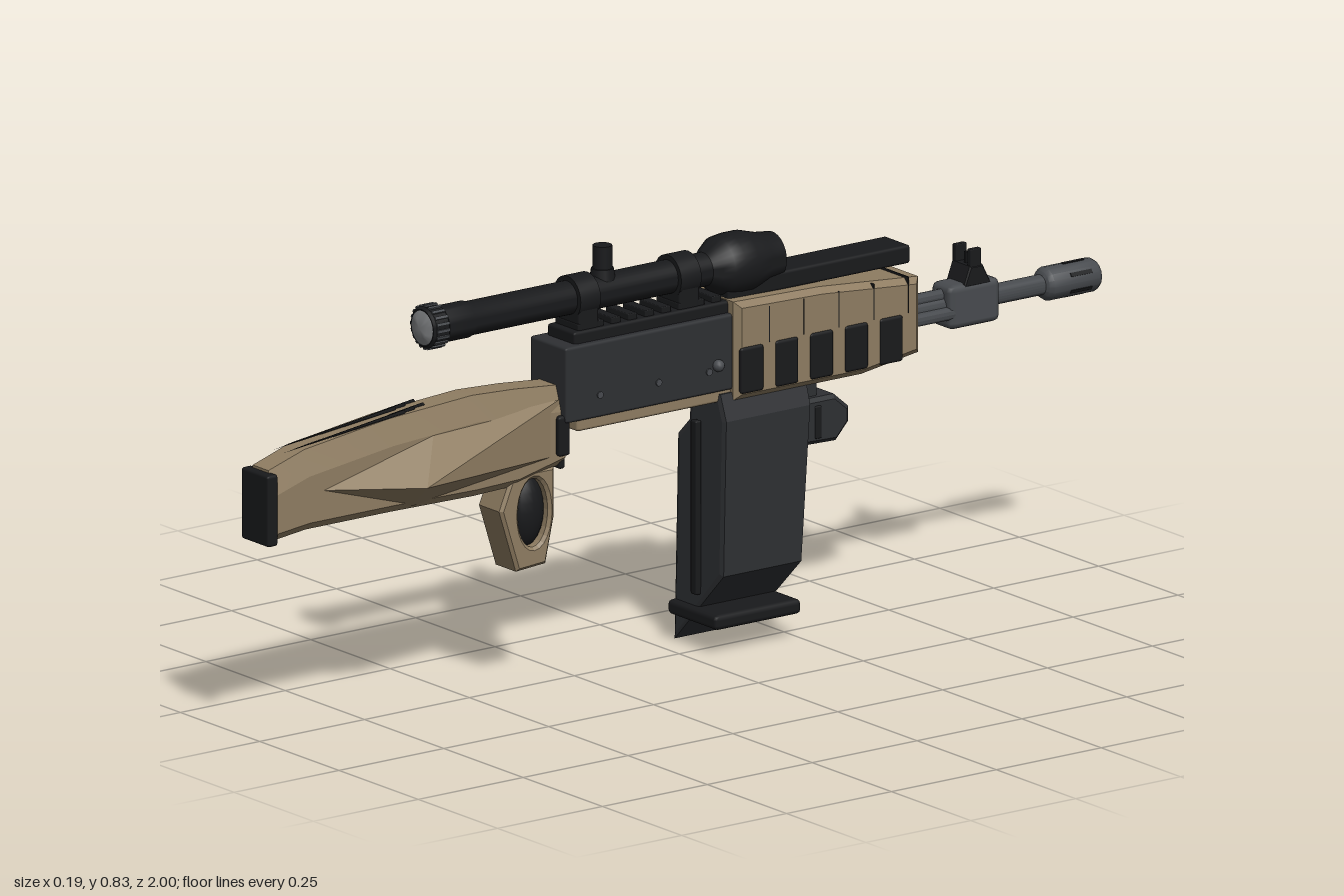
import * as THREE from 'three';
import { toCreasedNormals } from 'three/addons/utils/BufferGeometryUtils.js';
import { RoundedBoxGeometry } from 'three/addons/geometries/RoundedBoxGeometry.js';

const CX = -0.017; // centre line of the body
const mat = (color) => new THREE.MeshStandardMaterial({ color });
const tan = mat(0x8f7d62), dark = mat(0x2e3033), black = mat(0x191a1c), steel = mat(0x484b4f), glass = mat(0x808284);

export function createModel() {
  const root = new THREE.Group();

  const add = (name, geo, material, parent = root) => {
    const m = new THREE.Mesh(geo, material);
    m.name = name;
    parent.add(m);
    return m;
  };
  // box given by its limits, with softened edges
  const box = (name, x0, x1, y0, y1, z0, z1, material, r = 0.006) => {
    const m = add(name, new RoundedBoxGeometry(x1 - x0, y1 - y0, z1 - z0, 1, r), material);
    m.position.set((x0 + x1) / 2, (y0 + y1) / 2, (z0 + z1) / 2);
    return m;
  };
  // turned part along z from [radius, z] pairs with falling z
  const turned = (name, y, pts, material, sides = 24) => {
    const geo = new THREE.LatheGeometry(pts.map(([r, z]) => new THREE.Vector2(r, -z)), sides);
    geo.rotateX(-Math.PI / 2);
    const m = add(name, toCreasedNormals(geo, 0.6), material);
    m.position.set(CX, y, 0);
    return m;
  };
  // side outline of [z, y] points, extruded across x
  const outline = (pts) => new THREE.Shape(pts.map(([z, y]) => new THREE.Vector2(-z, y)));
  const slab = (name, shape, x0, x1, bevel, material) => {
    const geo = new THREE.ExtrudeGeometry(shape, {
      depth: x1 - x0 - 2 * bevel, bevelEnabled: bevel > 0, bevelSize: bevel,
      bevelThickness: bevel, bevelOffset: -bevel, bevelSegments: 1, curveSegments: 12,
    });
    geo.rotateY(Math.PI / 2).translate(x0 + bevel, 0, 0);
    return add(name, geo, material);
  };

  // Stock: lofted octagonal sections [z, bottom, top, half width]
  const sections = [
    [0.985, 0.395, 0.535, 0.041], [0.9, 0.405, 0.562, 0.042], [0.7, 0.405, 0.588, 0.042],
    [0.5, 0.402, 0.6, 0.042], [0.4, 0.405, 0.595, 0.042], [0.29, 0.43, 0.585, 0.042],
  ];
  const pos = [], idx = [];
  sections.forEach(([z, b, t, w]) => {
    const ring = [[-0.7, b], [0.7, b], [1, b + 0.015], [1, t - 0.05], [0.6, t], [-0.6, t], [-1, t - 0.05], [-1, b + 0.015]];
    ring.forEach(([k, y]) => pos.push(CX + k * w, y, z));
  });
  for (let s = 0; s < sections.length - 1; s++) {
    for (let i = 0; i < 8; i++) {
      const a = s * 8 + i, b = s * 8 + (i + 1) % 8;
      idx.push(a, a + 8, b, b, a + 8, b + 8);
    }
  }
  const last = (sections.length - 1) * 8;
  for (let i = 1; i < 7; i++) idx.push(0, i, i + 1, last, last + i + 1, last + i);
  const stockGeo = new THREE.BufferGeometry();
  stockGeo.setAttribute('position', new THREE.Float32BufferAttribute(pos, 3));
  stockGeo.setIndex(idx);
  add('stock', toCreasedNormals(stockGeo, 0.3), tan);
  box('buttPlate', -0.06, 0.027, 0.388, 0.53, 0.975, 1, black);

  // Pointed cheek flare on the left side
  const rim = [[0.3, 0.45], [0.3, 0.56], [0.6, 0.548], [0.88, 0.48], [0.65, 0.41]];
  const flare = [];
  rim.forEach(([z, y], i) => {
    const [z2, y2] = rim[(i + 1) % rim.length];
    flare.push(0.02, y, z, 0.093, 0.465, 0.67, 0.02, y2, z2);
  });
  const flareGeo = new THREE.BufferGeometry();
  flareGeo.setAttribute('position', new THREE.Float32BufferAttribute(flare, 3));
  flareGeo.computeVertexNormals();
  const flareMat = mat(0x8f7d62);
  flareMat.side = THREE.DoubleSide;
  add('cheekFlare', flareGeo, flareMat);

  // Slivers along the stock's comb
  for (let i = 0; i < 6; i++) {
    const sliver = add('combSliver', new THREE.ConeGeometry(0.004, 0.3, 4), black);
    sliver.rotation.x = Math.PI / 2 + 0.11;
    sliver.position.set(CX - 0.025 + i * 0.01, 0.579, 0.75 + (i % 3) * 0.03);
  }

  // Grip with a dark oval inset
  const gripShape = outline([[0.44, 0.36], [0.4, 0.235], [0.33, 0.24], [0.31, 0.33], [0.31, 0.43], [0.41, 0.43]]);
  const hole = new THREE.Path();
  hole.absellipse(-0.36, 0.345, 0.036, 0.068, 0, Math.PI * 2, true);
  gripShape.holes.push(hole);
  slab('grip', gripShape, -0.055, 0.02, 0.006, tan);
  const inset = add('gripInset', new THREE.SphereGeometry(1, 20, 12), black);
  inset.scale.set(0.036, 0.075, 0.042);
  inset.position.set(CX, 0.345, 0.36);

  // Receiver
  box('receiver', -0.075, 0.041, 0.515, 0.665, -0.12, 0.3, dark);
  box('receiverUnderside', -0.07, 0.036, 0.493, 0.52, -0.12, 0.27, tan);
  box('rearLatch', -0.07, 0.036, 0.45, 0.53, 0.285, 0.312, black);
  box('rearLatchFoot', -0.055, 0.02, 0.42, 0.47, 0.285, 0.3, black);
  for (const z of [0.22, 0.08, -0.04]) {
    const pin = add('receiverPin', new THREE.CylinderGeometry(0.007, 0.007, 0.122, 10), steel);
    pin.rotation.z = Math.PI / 2;
    pin.position.set(CX, 0.56, z);
  }
  const bolt = add('boltHandle', new THREE.SphereGeometry(0.012, 12, 8), steel);
  bolt.position.set(0.045, 0.57, -0.06);

  // Handguard with side pads and seams
  slab('handguard', outline([[-0.095, 0.69], [-0.095, 0.495], [-0.4, 0.495], [-0.535, 0.515], [-0.535, 0.665], [-0.3, 0.685]]),
    -0.09, 0.057, 0.012, tan);
  for (let i = 0; i < 5; i++) {
    const z = -0.13 - i * 0.083;
    box('sidePad', -0.096, 0.062, 0.508, 0.6, z - 0.027, z + 0.027, black);
    box('handguardSeam', -0.0905, 0.0575, 0.6, 0.672, z - 0.0435, z - 0.0405, black, 0.001);
  }
  box('topRail', -0.057, 0.023, 0.685, 0.722, -0.535, -0.1, black);

  // Barrel, gas block, front sight and muzzle
  turned('barrel', 0.575, [[0, -0.5], [0.02, -0.5], [0.02, -0.88], [0, -0.88]], steel);
  for (const [x, y] of [[-0.02, -0.012], [0.02, -0.012], [0, 0.02]]) {
    const rod = turned('gasTube', 0.575 + y, [[0, -0.5], [0.013, -0.5], [0.013, -0.66], [0, -0.66]], steel, 12);
    rod.position.x += x;
  }
  box('gasBlock', -0.05, 0.016, 0.53, 0.618, -0.757, -0.635, steel, 0.014);
  slab('frontSightBase', outline([[-0.67, 0.61], [-0.735, 0.61], [-0.715, 0.65], [-0.685, 0.65]]), -0.047, 0.013, 0.003, black);
  for (const s of [-1, 1]) box('sightEar', CX + s * 0.023 - 0.006, CX + s * 0.023 + 0.006, 0.64, 0.683, -0.712, -0.686, black, 0.002);
  box('sightPost', CX - 0.004, CX + 0.004, 0.64, 0.672, -0.704, -0.694, black, 0.001);
  turned('muzzleBrake', 0.575, [[0.018, -0.872], [0.027, -0.876], [0.033, -0.885], [0.033, -0.992], [0.028, -1], [0.016, -1], [0.016, -0.95], [0, -0.95]], steel, 16);
  for (let i = 0; i < 6; i++) {
    const a = (i + 0.5) * Math.PI / 3;
    const slot = add('muzzleSlot', new THREE.BoxGeometry(0.008, 0.003, 0.05), black);
    slot.position.set(CX + Math.cos(a) * 0.0325, 0.575 + Math.sin(a) * 0.0325, -0.95);
    slot.rotation.z = a + Math.PI / 2;
  }

  // Magazine: slanted front outline, tapered toward its foot
  const magShape = new THREE.Shape([[-0.09, 0], [0.06, 0.155], [0.06, 0.46], [0.04, 0.51], [-0.05, 0.51], [-0.055, 0.44], [-0.09, 0.405]]
    .map(([x, y]) => new THREE.Vector2(x, y)));
  const magGeo = new THREE.ExtrudeGeometry(magShape, {
    depth: 0.97, bevelSize: 0.01, bevelThickness: 0.015, bevelOffset: -0.01, bevelSegments: 1,
  });
  const mp = magGeo.attributes.position;
  for (let i = 0; i < mp.count; i++) {
    const back = -0.235 - 0.07 * mp.getY(i), front = -0.052 - 0.02 * mp.getY(i);
    mp.setZ(i, THREE.MathUtils.lerp(back, front, mp.getZ(i)));
  }
  // widen the squeezed bevel into a proper corner chamfer
  for (let i = 0; i < mp.count; i++) if (mp.getY(i) < 0.012) mp.setY(i, Math.max(0, mp.getY(i)));
  magGeo.computeVertexNormals();
  add('magazine', magGeo, dark);
  box('magazineBasePlate', -0.096, 0.062, 0.05, 0.08, -0.247, -0.042, black, 0.01);
  box('magazineRib', -0.027, -0.007, 0.105, 0.45, -0.06, -0.046, black, 0.004);

  // Small accessory ahead of the magazine
  slab('foreAccessory', outline([[-0.26, 0.455], [-0.26, 0.365], [-0.365, 0.362], [-0.395, 0.395], [-0.395, 0.425], [-0.36, 0.455]]),
    -0.052, 0.018, 0.008, dark);
  box('accessoryStem', -0.035, 0.001, 0.44, 0.51, -0.33, -0.27, dark);
  box('accessoryBand', -0.055, 0.021, 0.375, 0.44, -0.325, -0.31, black, 0.003);

  // Scope rail with cross teeth
  box('scopeRail', -0.06, 0.028, 0.655, 0.688, -0.12, 0.27, black);
  for (let i = 0; i < 9; i++) {
    const z = 0.245 - i * 0.04;
    box('railTooth', -0.052, 0.02, 0.68, 0.7, z - 0.011, z + 0.011, black, 0.002);
  }

  // Scope
  const SY = 0.745;
  turned('scopeBody', SY, [
    [0, 0.595], [0.036, 0.6], [0.041, 0.595], [0.041, 0.565], [0.036, 0.56], [0.036, 0.5], [0.033, 0.49], [0.033, -0.07],
    [0.045, -0.085], [0.058, -0.105], [0.061, -0.13], [0.061, -0.16], [0.05, -0.2], [0.046, -0.235], [0.036, -0.235], [0.034, -0.215], [0, -0.215],
  ], black, 32);
  turned('rearLens', SY, [[0, 0.607], [0.02, 0.605], [0.035, 0.599], [0.035, 0.59]], glass);
  turned('frontLens', SY, [[0.034, -0.21], [0.034, -0.218], [0, -0.222]], glass);
  for (let i = 0; i < 20; i++) {
    const a = i * Math.PI / 10;
    const knurl = add('eyepieceKnurl', new THREE.BoxGeometry(0.006, 0.006, 0.03), steel);
    knurl.position.set(CX + Math.cos(a) * 0.041, SY + Math.sin(a) * 0.041, 0.58);
    knurl.rotation.z = a;
  }
  for (const z of [0.23, -0.01]) {
    turned('scopeRing', SY, [[0.033, z + 0.024], [0.043, z + 0.024], [0.043, z - 0.024], [0.033, z - 0.024]], black);
    box('scopeMount', -0.055, 0.021, 0.68, 0.735, z - 0.024, z + 0.024, black);
  }
  const turret = add('elevationTurret', new THREE.CylinderGeometry(0.019, 0.019, 0.09, 16), black);
  turret.position.set(CX, 0.79, 0.17);
  const collar = add('turretCollar', new THREE.CylinderGeometry(0.022, 0.026, 0.03, 16), black);
  collar.position.set(CX, 0.775, 0.17);

  return root;
}
